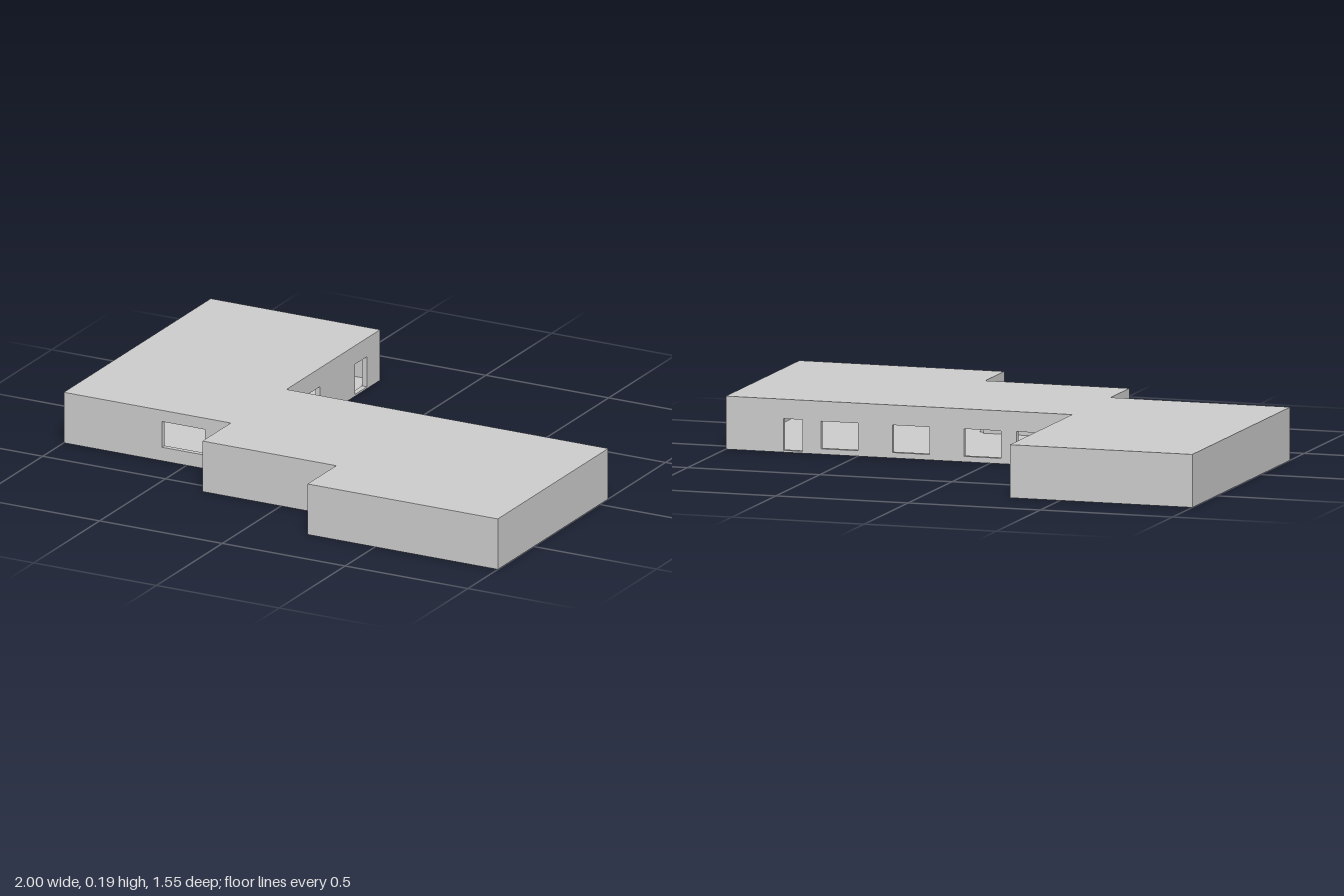
import * as THREE from 'three';

const HEIGHT = 0.193, SLAB = 0.005, WALL = 0.02;

// Plan corners (x, z), clockwise seen from above; each wall runs to the next corner.
// Openings: [start along wall, end along wall, bottom, top]
const DOOR_BASE = SLAB + 0.002;
const PLAN = [
  { name: 'wingBackWall', at: [-1, -0.775] },
  { name: 'wingCourtWall', at: [-0.31, -0.775], openings: [
    [0.1, 0.19, DOOR_BASE, 0.122],
    [0.455, 0.545, DOOR_BASE, 0.122],
  ] },
  { name: 'mainBackWall', at: [-0.31, -0.065], openings: [
    [0.07, 0.21, DOOR_BASE, 0.12],
    [0.27, 0.41, 0.02, 0.12],
    [0.54, 0.68, 0.02, 0.12],
    [0.81, 0.95, 0.02, 0.12],
    [1.02, 1.092, DOOR_BASE, 0.122],
  ] },
  { name: 'leftWall', at: [1, -0.065] },
  { name: 'frontWall', at: [1, 0.773] },
  { name: 'frontStepSide', at: [0.225, 0.773] },
  { name: 'middleFrontWall', at: [0.225, 0.555] },
  { name: 'middleStepSide', at: [-0.32, 0.555] },
  { name: 'wingFrontWall', at: [-0.32, 0.34], openings: [[0.105, 0.28, 0.052, 0.15]] },
  { name: 'rightWall', at: [-1, 0.34] },
];

function rect(x0, x1, y0, y1, Type = THREE.Shape) {
  const s = new Type();
  s.moveTo(x0, y0);
  s.lineTo(x1, y0);
  s.lineTo(x1, y1);
  s.lineTo(x0, y1);
  s.closePath();
  return s;
}

export function createModel() {
  const group = new THREE.Group();
  group.name = 'building';
  const material = new THREE.MeshStandardMaterial({ color: 0xcccccc });

  const add = (name, geometry) => {
    const mesh = new THREE.Mesh(geometry, material);
    mesh.name = name;
    group.add(mesh);
    return mesh;
  };

  // Floor and flat roof share the plan outline
  const outline = new THREE.Shape(PLAN.map(({ at }) => new THREE.Vector2(...at)));
  for (const [name, top] of [['floor', SLAB], ['roof', HEIGHT]]) {
    const slab = new THREE.ExtrudeGeometry(outline, { depth: SLAB, bevelEnabled: false });
    slab.rotateX(Math.PI / 2);
    add(name, slab).position.y = top;
  }

  // Walls with door and window openings, thickened inwards
  PLAN.forEach(({ name, at: [x, z], openings = [] }, i) => {
    const [nx, nz] = PLAN[(i + 1) % PLAN.length].at;
    const shape = rect(0, Math.hypot(nx - x, nz - z), SLAB, HEIGHT - SLAB);
    shape.holes = openings.map((o) => rect(...o, THREE.Path));
    const wall = add(name, new THREE.ExtrudeGeometry(shape, { depth: WALL, bevelEnabled: false }));
    wall.position.set(x, 0, z);
    wall.rotation.y = Math.atan2(z - nz, nx - x);
  });

  return group;
}
